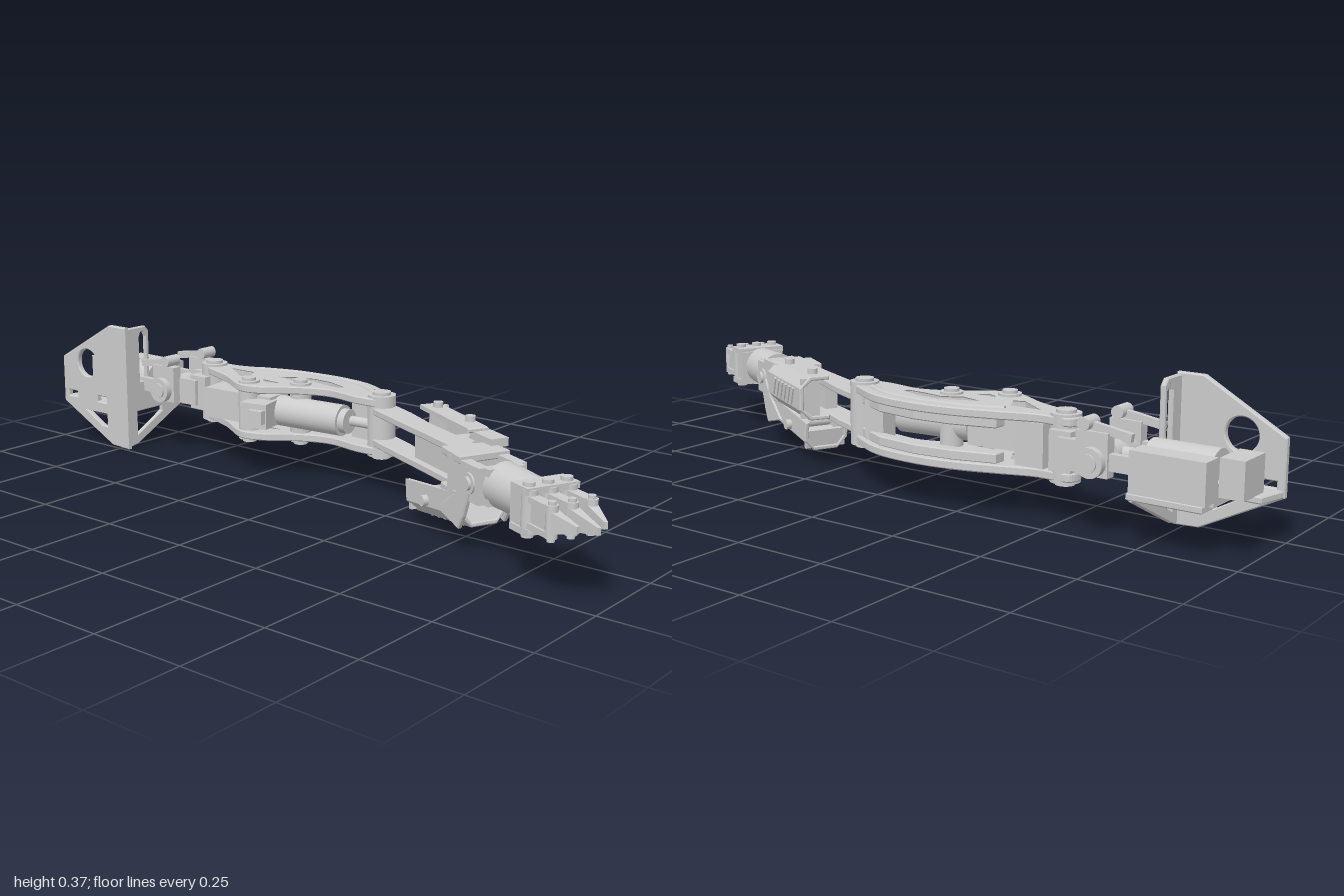
import * as THREE from 'three';

const MAT = new THREE.MeshStandardMaterial({ color: 0xcccccc, side: THREE.DoubleSide });
const MID = 0.187; // height of the arm's centre line

function add(parent, name, geo, x = 0, y = 0, z = 0) {
  const m = new THREE.Mesh(geo, MAT);
  m.name = name;
  m.position.set(x, y, z);
  parent.add(m);
  return m;
}
function group(parent, name, x = 0, y = 0, z = 0) {
  const g = new THREE.Group();
  g.name = name;
  g.position.set(x, y, z);
  parent.add(g);
  return g;
}
const box = (p, name, w, h, d, x, y, z) => add(p, name, new THREE.BoxGeometry(w, h, d), x, y, z);

function cyl(p, name, r, len, axis, x, y, z, r2 = r) {
  const g = new THREE.CylinderGeometry(r2, r, len, 28);
  if (axis === 'x') g.rotateZ(-Math.PI / 2);
  if (axis === 'z') g.rotateX(Math.PI / 2);
  return add(p, name, g, x, y, z);
}
// Pin with a wide washer and a narrower head at each end
function pin(p, name, r, half, axis, x, y, z) {
  cyl(p, name, r, half * 2 - 0.016, axis, x, y, z);
  cyl(p, name + 'Head', r * 0.65, half * 2, axis, x, y, z);
}
// Straight or smoothed closed outline
function outline(pts, smooth) {
  const v = pts.map(([a, b]) => new THREE.Vector2(a, b));
  if (!smooth) return v;
  const c = new THREE.CatmullRomCurve3(v.map(q => new THREE.Vector3(q.x, q.y, 0)), true);
  return c.getPoints(90).slice(0, 90).map(q => new THREE.Vector2(q.x, q.y));
}
function extrude(pts, holes, depth, smooth = false, bevel = 0.003) {
  const s = new THREE.Shape(outline(pts, smooth));
  holes.forEach(h => s.holes.push(h.isPath ? h : new THREE.Path(outline(h, false))));
  const g = new THREE.ExtrudeGeometry(s, {
    depth: depth - 2 * bevel, bevelEnabled: bevel > 0, bevelSize: bevel,
    bevelThickness: bevel, bevelOffset: -bevel, bevelSegments: 1, curveSegments: 20
  });
  return g.translate(0, 0, bevel);
}
const circle = (x, y, r) => { const p = new THREE.Path(); p.absarc(x, y, r, 0, Math.PI * 2); p.isPath = true; return p; };
// Horizontal plate drawn in (x, z), its underside at height y
function plate(p, name, pts, holes, y, h, smooth) {
  const flip = a => a.map(([x, z]) => [x, -z]);
  const g = extrude(flip(pts), holes.map(flip), h, smooth);
  return add(p, name, g.rotateX(-Math.PI / 2), 0, y, 0);
}

function buildBase(root) {
  const g = group(root, 'mount');
  // Upright mounting plate
  add(g, 'mountPlate', extrude(
    [[-1, 0.11], [-0.79, 0.003], [-0.72, 0], [-0.72, 0.37], [-0.79, 0.37], [-1, 0.25]],
    [circle(-0.89, 0.243, 0.042),
      [[-0.9, 0.095], [-0.83, 0.057], [-0.81, 0.057], [-0.81, 0.095]],
      [[-0.98, 0.13], [-0.94, 0.13], [-0.94, 0.147], [-0.98, 0.147]],
      [[-0.85, 0.13], [-0.81, 0.13], [-0.81, 0.147], [-0.85, 0.147]]], 0.018), 0, 0, -0.024);
  // Side web, drawn in (depth, height), with an upper slot and a lower triangle
  const web = extrude(
    [[0.01, 0.003], [0.05, 0.01], [0.24, 0.105], [0.24, 0.13], [0.104, 0.2], [0.104, 0.35], [0.09, 0.366], [0.01, 0.366]],
    [[[0.065, 0.2], [0.09, 0.2], [0.09, 0.335], [0.083, 0.35], [0.072, 0.35], [0.065, 0.335]],
      [[0.05, 0.04], [0.15, 0.095], [0.15, 0.11], [0.05, 0.11]]], 0.014);
  add(g, 'sideWeb', web.rotateY(Math.PI / 2), -0.734, 0, 0);
  plate(g, 'shelf', [[-1, -0.012], [-0.72, -0.012], [-0.72, -0.25], [-0.91, -0.25], [-0.91, -0.1], [-0.98, -0.1]], [], 0.11, 0.018);
  // Shoulder drive
  box(g, 'driveHousing', 0.19, 0.1, 0.06, -0.825, 0.18, -0.228);
  box(g, 'driveFoot', 0.18, 0.05, 0.12, -0.83, 0.145, -0.155);
  cyl(g, 'driveMotor', 0.05, 0.17, 'x', -0.82, 0.19, -0.155);
  box(g, 'driveEnd', 0.06, 0.09, 0.1, -0.96, 0.19, -0.165);
  cyl(g, 'driveRod', 0.018, 0.2, 'x', -0.66, 0.19, -0.155);
  for (const z of [-0.24, -0.088]) {
    box(g, 'supportArm', 0.2, 0.04, 0.018, -0.72, 0.19, z);
    const r = box(g, 'lever', 0.12, 0.02, 0.014, -0.67, 0.262, z);
    r.rotation.z = 0.15;
  }
}

function buildShoulder(root) {
  const g = group(root, 'shoulder');
  // Fork with a horizontal axle
  for (const s of [-1, 1]) {
    const z = -0.165 + s * 0.076;
    box(g, 'forkCheek', 0.085, 0.105, 0.03, -0.632, 0.205, z);
    cyl(g, 'forkBoss', 0.036, 0.062, 'z', -0.635, 0.187, z + s * 0.002);
    cyl(g, 'forkBossHead', 0.022, 0.06, 'z', -0.635, 0.187, z + s * 0.008);
    cyl(g, 'leverPin', 0.016, 0.05, 'z', -0.615, 0.274, z);
    box(g, 'forkArm', 0.1, 0.075, 0.025, -0.575, MID, -0.165 + s * 0.054);
  }
  cyl(g, 'axle', 0.02, 0.17, 'z', -0.635, MID, -0.165);
  box(g, 'forkBridge', 0.06, 0.1, 0.11, -0.525, MID, -0.165);
  cyl(g, 'rodEye', 0.03, 0.04, 'z', -0.635, 0.19, -0.165);
}

function buildUpperArm(root) {
  const g = group(root, 'upperArm');
  const edge = [[-0.54, -0.2], [-0.45, -0.205], [-0.35, -0.238], [-0.235, -0.27], [-0.13, -0.28], [-0.01, -0.265],
    [0.085, -0.217], [0.145, -0.17], [0.12, -0.13], [0.06, -0.122], [-0.05, -0.135], [-0.14, -0.1],
    [-0.215, -0.045], [-0.28, -0.03], [-0.395, -0.09], [-0.5, -0.13], [-0.55, -0.16]];
  const holes = [
    [[-0.26, -0.165], [-0.22, -0.193], [-0.16, -0.212], [-0.1, -0.21], [-0.03, -0.185], [-0.04, -0.165], [-0.09, -0.168], [-0.15, -0.177], [-0.2, -0.15]],
    [[-0.44, -0.165], [-0.35, -0.168], [-0.32, -0.115], [-0.35, -0.1]],
    [[-0.27, -0.115], [-0.2, -0.11], [-0.235, -0.085], [-0.26, -0.095]]];
  const arch = [[-0.36, -0.205], [-0.25, -0.24], [-0.13, -0.25], [-0.02, -0.235], [0.06, -0.195]];
  for (const s of [-1, 1]) {
    plate(g, 'archPlate', edge, holes, MID + s * 0.067 - 0.011, 0.022, true);
    // Raised rib that follows the arch
    const c = new THREE.CatmullRomCurve3(arch.map(([x, z]) => new THREE.Vector3(x, MID + s * 0.075, z)));
    add(g, 'archRib', new THREE.TubeGeometry(c, 32, 0.01, 8));
  }
  // Rear edge bands between the plates, leaving a long central slot
  const outer = edge.slice(2, 7).map(([x, z]) => [x, z + 0.012]);
  const inner = outer.map(([x, z]) => [x, z + 0.035]).reverse();
  for (const s of [-1, 1]) plate(g, 'archBand', [...outer, ...inner], [], MID + s * 0.044 - 0.013, 0.026);
  [[-0.51, -0.168, 0.038], [0.11, -0.165, 0.038], [-0.28, -0.065, 0.03], [-0.15, -0.135, 0.03]]
    .forEach(([x, z, r]) => pin(g, 'pivot', r, 0.092, 'y', x, MID, z));
  box(g, 'endSpacer', 0.08, 0.11, 0.055, -0.43, MID, -0.178);
  box(g, 'endSpacer', 0.06, 0.11, 0.05, 0.03, MID, -0.2);

  // Elbow actuator carried between the plates
  const a = group(g, 'elbowActuator', -0.22, MID, -0.12);
  a.rotation.y = 0.1;
  box(a, 'gearbox', 0.23, 0.085, 0.085, -0.105, 0, 0.01);
  cyl(a, 'motor', 0.043, 0.21, 'x', 0.12, 0, 0.01);
  cyl(a, 'motorCap', 0.034, 0.02, 'x', 0.235, 0, 0.01);
  cyl(a, 'pushRod', 0.014, 0.12, 'x', 0.29, 0, 0);
  const nose = box(a, 'gearboxNose', 0.08, 0.07, 0.1, -0.015, 0, 0.06);
  nose.rotation.y = 0.15;
  box(a, 'connector', 0.045, 0.038, 0.03, 0.006, 0, 0.108);
}

// Channel-shaped cover open toward +z, running along x from 0 to len
function cover(parent, name, len, w, d) {
  const g = group(parent, name), t = 0.012, k = 0.03;
  const pts = [[0, w], [-d + k, w], [-d, w - k], [-d, k - w], [k - d, -w], [0, -w],
    [0, t - w], [k - d + t / 2, t - w], [t - d, k - w], [t - d, w - k], [k - d + t / 2, w - t], [0, w - t]];
  // Profile (z, y) is turned so that the extrusion follows x
  const geo = extrude(pts.map(([z, y]) => [-z, y]), [], len);
  add(g, 'coverShell', geo.rotateY(Math.PI / 2));
  box(g, 'coverEnd', 0.012, w * 1.8, d * 0.6, 0.01, 0, -d * 0.62);
  // Slanted vent ribs
  for (let i = 0; i < 6; i++) {
    const v = box(g, 'vent', 0.01, (w - k) * 1.7, 0.008, len * (0.22 + i * 0.11), 0, -d);
    v.rotation.z = 0.4;
  }
  return g;
}

function buildForearm(root) {
  const g = group(root, 'forearm', 0.11, MID, -0.165);
  g.rotation.y = -Math.atan2(0.41, 0.885);
  // Tapered link pair
  const link = [[-0.035, 0.02], [-0.035, -0.02], [0, -0.036], [0.1, -0.036], [0.23, -0.026], [0.47, -0.03], [0.47, 0.035], [0.28, 0.034], [0.05, 0.036], [0, 0.034]];
  for (const s of [-1, 1]) plate(g, 'linkPlate', link, [], s * 0.043 - 0.01, 0.02);
  box(g, 'linkCore', 0.25, 0.07, 0.035, 0.34, 0, 0);
  // Wrist yoke, an open frame
  for (const s of [-1, 1]) {
    box(g, 'yokeCheek', 0.14, 0.09, 0.028, 0.53, 0, s * 0.052);
    pin(g, 'yokePin', 0.026, 0.024, 'z', 0.56, 0, s * 0.055);
    plate(g, 'yokeFlange', [[0.44, -0.065], [0.52, -0.07], [0.52, 0.07], [0.42, 0.06]], [], s * 0.045 - 0.01, 0.02);
  }
  box(g, 'yokeBack', 0.045, 0.1, 0.12, 0.475, 0, 0);
  box(g, 'yokeFront', 0.03, 0.09, 0.1, 0.603, 0, 0);

  // Rear cover, tilted slightly toward the elbow
  const rear = cover(g, 'rearCover', 0.27, 0.06, 0.085);
  rear.position.set(0.125, 0.02, -0.045);
  rear.rotation.y = -0.06;
  box(g, 'rearCoverBracket', 0.07, 0.07, 0.04, 0.37, 0.015, -0.05);
  box(g, 'rearCoverArm', 0.1, 0.022, 0.05, 0.425, 0.06, -0.07);
  for (const x of [0.17, 0.33]) cyl(g, 'coverBolt', 0.013, 0.02, 'y', x, 0.084, -0.075);

  // Lower cover, hung beneath the wrist with its open side upward
  const hang = group(g, 'lowerCoverMount', 0.25, -0.075, 0);
  hang.rotation.z = 0.13;
  const low = cover(hang, 'lowerCover', 0.27, 0.065, 0.085);
  low.rotation.x = -Math.PI / 2;
  for (const s of [-1, 1]) {
    const strut = extrude([[0.42, -0.1], [0.52, -0.125], [0.54, -0.09], [0.575, 0.005], [0.545, 0.015], [0.5, -0.04]], [], 0.014);
    add(g, 'lowerCoverStrut', strut, 0, 0, s * 0.064 - 0.007);
  }
  cyl(g, 'lowerCoverPin', 0.014, 0.16, 'z', 0.36, -0.1, 0);

  // Wrist barrel
  cyl(g, 'wristBarrel', 0.057, 0.14, 'x', 0.675, 0, 0, 0.053);
  cyl(g, 'wristCollar', 0.046, 0.04, 'x', 0.61, 0, 0);
  // Palm block and clevis plates
  box(g, 'palm', 0.045, 0.09, 0.13, 0.755, 0, 0);
  for (const s of [-1, 1]) {
    box(g, 'palmPlate', 0.065, 0.016, 0.14, 0.772, s * 0.047, 0);
    for (const z of [-0.05, 0, 0.05]) cyl(g, 'palmBolt', 0.014, 0.016, 'y', 0.782, s * 0.056, z);
  }
  // Three pointed fingers with knuckle pins
  [[-0.052, 0], [0, 0], [0.052, 0]].forEach(([z], i) => {
    const f = group(g, 'finger', 0.79, 0, z);
    cyl(f, 'knuckle', 0.019, 0.1, 'y', 0, 0, 0);
    for (const s of [-1, 1]) box(f, 'fingerRail', 0.085, 0.014, 0.028, 0.045, s * 0.03, 0);
    box(f, 'fingerCore', 0.08, 0.05, 0.016, 0.045, 0, 0);
    pin(f, 'fingerPin', 0.014, 0.046, 'y', 0.085, 0, 0);
    const end = i === 1 ? 0.185 : 0.16, lean = -Math.sign(z) * 0.016;
    const tip = new THREE.CylinderGeometry(0.008, 0.026, end - 0.08, 4, 1).rotateY(Math.PI / 4)
      .rotateZ(-Math.PI / 2).scale(1, 1.5, 0.75).toNonIndexed();
    tip.computeVertexNormals();
    const t = add(f, 'fingertip', tip, (end + 0.08) / 2, 0, lean / 2);
    t.rotation.y = -Math.atan2(lean, end - 0.08);
  });
}

export function createModel() {
  const root = new THREE.Group();
  root.name = 'roboticArm';
  buildBase(root);
  buildShoulder(root);
  buildUpperArm(root);
  buildForearm(root);
  return root;
}
